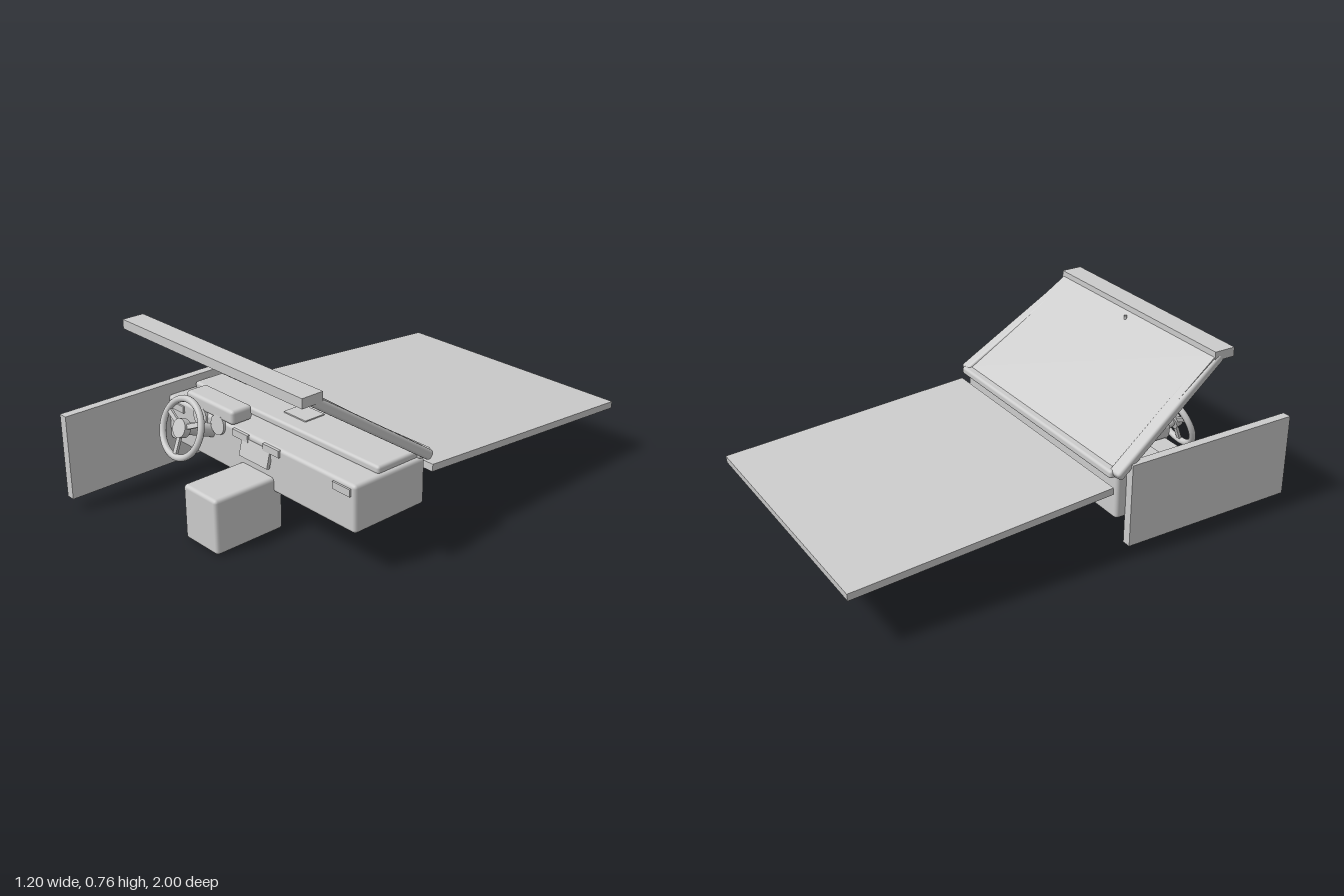
import * as THREE from 'three';
import { RoundedBoxGeometry } from 'three/addons/geometries/RoundedBoxGeometry.js';

const V = (x, y, z) => new THREE.Vector3(x, y, z);

export function createModel() {
  const model = new THREE.Group();
  const grey = new THREE.MeshStandardMaterial({ color: 0xcccccc });

  const add = (name, geometry, x = 0, y = 0, z = 0, parent = model) => {
    const mesh = new THREE.Mesh(geometry, grey);
    mesh.name = name;
    mesh.position.set(x, y, z);
    parent.add(mesh);
    return mesh;
  };
  // Box given by its min and max on each axis; r rounds the edges
  const block = (name, x0, x1, y0, y1, z0, z1, r = 0) => {
    const s = [x1 - x0, y1 - y0, z1 - z0];
    const g = r ? new RoundedBoxGeometry(...s, 2, r) : new THREE.BoxGeometry(...s);
    return add(name, g, (x0 + x1) / 2, (y0 + y1) / 2, (z0 + z1) / 2);
  };
  // Lay a mesh whose length is along z between two points, its width level
  const layBetween = (mesh, a, b) => {
    const dir = b.clone().sub(a).normalize();
    const side = V(0, 1, 0).cross(dir).normalize();
    const up = dir.clone().cross(side);
    mesh.quaternion.setFromRotationMatrix(new THREE.Matrix4().makeBasis(side, up, dir));
    mesh.position.copy(a).lerp(b, 0.5);
  };

  // Bonnet, sloping down away from the windscreen
  const bonnet = add('bonnet', new THREE.BoxGeometry(1.165, 0.03, 1.131), 0.002, 0.28, -0.435);
  bonnet.rotation.x = -0.071;

  // Dashboard, its top pad and the cowl under the windscreen
  block('dashboard', -0.565, 0.57, 0.175, 0.372, 0.155, 0.515, 0.015);
  block('dashTopPad', -0.55, 0.555, 0.365, 0.4, 0.16, 0.385, 0.012);
  block('cowl', -0.565, 0.57, 0.365, 0.4, 0.12, 0.185, 0.012);
  block('topSpeaker', -0.05, 0.08, 0.398, 0.405, 0.22, 0.32);

  // Air vents on the dashboard face
  for (const [x, y] of [[-0.497, 0.34], [-0.078, 0.353], [0.108, 0.353], [0.503, 0.34]])
    block('airVent', x - 0.047, x + 0.047, y - 0.015, y + 0.015, 0.505, 0.523);

  // Centre control panel, lower edge tilted out
  const panel = add('controlPanel', new THREE.BoxGeometry(0.17, 0.078, 0.015), 0.015, 0.312, 0.52);
  panel.rotation.x = -0.25;

  // Instrument hood and dials
  block('instrumentHood', -0.427, -0.125, 0.375, 0.437, 0.417, 0.52, 0.015);
  for (const x of [-0.335, -0.22]) {
    const dial = add('dial', new THREE.CylinderGeometry(0.042, 0.042, 0.012, 24), x, 0.352, 0.518);
    dial.rotation.x = Math.PI / 2 - 0.1;
  }

  // Steering wheel, axis along its local z
  const wheel = new THREE.Group();
  wheel.name = 'steeringWheel';
  wheel.position.set(-0.277, 0.36, 0.655);
  wheel.rotation.x = -0.36;
  model.add(wheel);
  add('wheelRim', new THREE.TorusGeometry(0.118, 0.014, 12, 48), 0, 0, 0, wheel);
  add('wheelHub', new THREE.CylinderGeometry(0.039, 0.039, 0.03, 24), 0, 0, 0, wheel).rotation.x = Math.PI / 2;
  for (const angle of [-90, 25, 155]) {
    const a = THREE.MathUtils.degToRad(angle);
    const spoke = add('wheelSpoke', new THREE.BoxGeometry(0.09, 0.02, 0.012),
      Math.cos(a) * 0.072, Math.sin(a) * 0.072, 0, wheel);
    spoke.rotation.z = a;
  }
  const column = add('steeringColumn', new THREE.CylinderGeometry(0.024, 0.028, 0.17, 20), 0, 0, -0.085, wheel);
  column.rotation.x = Math.PI / 2;

  // Centre console
  block('centreConsole', -0.085, 0.115, 0.004, 0.237, 0.473, 0.798, 0.015);

  // Door panel beside the driver
  block('doorPanel', -0.602, -0.563, 0.058, 0.42, 0.2, 1);

  // Windscreen, narrowing towards the roof
  const low = V(0, 0.388, 0.145), high = V(0, 0.745, 0.645);
  const length = low.distanceTo(high);
  const pane = new THREE.BoxGeometry(1, 0.01, length);
  const p = pane.attributes.position;
  for (let i = 0; i < p.count; i++) p.setX(i, p.getX(i) * (p.getZ(i) > 0 ? 1.05 : 1.14));
  pane.computeVertexNormals();
  layBetween(add('windscreen', pane), low, high);

  // Windscreen pillars
  for (const s of [-1, 1]) {
    const a = V(s * 0.568, 0.383, 0.148), b = V(s * 0.502, 0.732, 0.66);
    const pillar = add('pillar', new RoundedBoxGeometry(0.06, 0.04, a.distanceTo(b) + 0.02, 2, 0.012));
    layBetween(pillar, a, b);
  }

  // Roof header, mirror and its stem
  block('roofHeader', -0.53, 0.535, 0.727, 0.766, 0.632, 0.727);
  block('mirror', -0.062, 0.095, 0.645, 0.691, 0.59, 0.616, 0.01);
  add('mirrorStem', new THREE.CylinderGeometry(0.006, 0.006, 0.06, 10), 0.017, 0.705, 0.603);

  return model;
}
